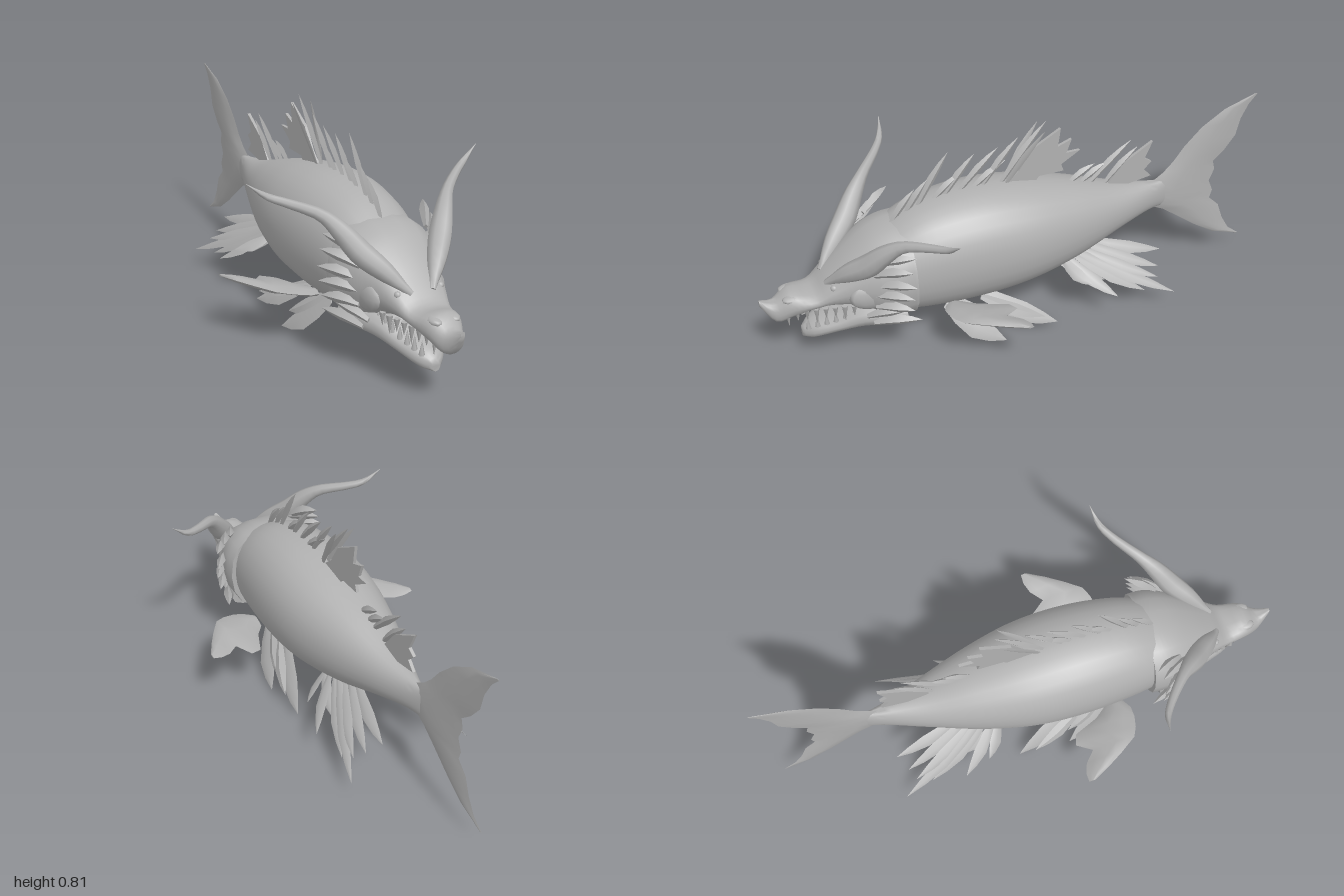
import * as THREE from 'three';
import { toCreasedNormals } from 'three/addons/utils/BufferGeometryUtils.js';

const V = (x, y, z) => new THREE.Vector3(x, y, z);
const grey = new THREE.MeshStandardMaterial({ color: 0xb0b0b0, side: THREE.DoubleSide });
grey.name = 'grey hide';

// Closed skin over a list of equal-length rings, always wound outward
function loft(rings, crease = 0.7) {
  const n = rings[0].length, pts = rings.flat(), tris = [];
  for (let i = 0; i < rings.length - 1; i++) {
    for (let j = 0; j < n; j++) {
      const a = i * n + j, b = i * n + (j + 1) % n;
      tris.push([a, b, a + n], [b, b + n, a + n]);
    }
  }
  const last = pts.length - n;
  for (let j = 1; j < n - 1; j++) tris.push([0, j + 1, j], [last, last + j, last + j + 1]);
  const c = pts.reduce((s, p) => s.add(p), V(0, 0, 0)).divideScalar(pts.length);
  let vol = 0;
  for (const [a, b, d] of tris) {
    vol += pts[a].clone().sub(c).dot(pts[b].clone().sub(c).cross(pts[d].clone().sub(c)));
  }
  const g = new THREE.BufferGeometry().setFromPoints(pts);
  g.setIndex((vol < 0 ? tris.map(t => [t[0], t[2], t[1]]) : tris).flat());
  return toCreasedNormals(g, crease);
}

// Smooth loft along z from stations [z, top, bottom, halfWidth]
function hull(stations, steps, sides, power) {
  const curve = k => new THREE.SplineCurve(stations.map(s => new THREE.Vector2(s[0], s[k])));
  const [top, bot, wid] = [1, 2, 3].map(curve), rings = [];
  const pw = v => Math.sign(v) * Math.abs(v) ** power;
  for (let i = 0; i <= steps; i++) {
    const t = top.getPoint(i / steps), b = bot.getPoint(i / steps).y, w = wid.getPoint(i / steps).y;
    rings.push(Array.from({ length: sides }, (_, j) => {
      const a = j / sides * Math.PI * 2;
      return V(w * pw(Math.cos(a)), (t.y + b) / 2 + (t.y - b) / 2 * pw(Math.sin(a)), t.x);
    }));
  }
  return loft(rings, 0.9);
}

// Lens-sectioned fin from rows [span, leading z, trailing z, half thickness]
function foil(rows, place) {
  return loft(rows.map(([s, f, b, h]) => [[0, 0], [0.2, 0.8], [0.45, 1], [0.8, 0.5], [1, 0],
    [0.8, -0.5], [0.45, -1], [0.2, -0.8]].map(([t, k]) => place(s, f + (b - f) * t, h * k))), 1);
}

// Leaf-shaped spike with a diamond section; "across" is its broad direction
function blade(base, tip, width, thick, across) {
  const dir = tip.clone().sub(base).normalize();
  const n = dir.clone().cross(across).normalize(), w = n.clone().cross(dir);
  const rings = [[0, 0.45], [0.25, 0.8], [0.55, 1], [0.8, 0.6], [1, 0.02]].map(([t, f]) => {
    const p = base.clone().lerp(tip, t).addScaledVector(w, Math.sin(t * Math.PI) * width * 0.2);
    return [[1, 0], [0, 1], [-1, 0], [0, -1]].map(([u, v]) =>
      p.clone().addScaledVector(w, u * f * width / 2).addScaledVector(n, v * f * thick / 2));
  });
  return loft(rings);
}

// Tapering round tube through points
function horn(points, radii) {
  const c = new THREE.CatmullRomCurve3(points), n = 20, fr = c.computeFrenetFrames(n);
  const r = new THREE.SplineCurve(radii.map((v, i) => new THREE.Vector2(i, v)));
  return loft(Array.from({ length: n + 1 }, (_, i) => Array.from({ length: 8 }, (_, j) => {
    const a = j / 8 * Math.PI * 2, q = Math.max(r.getPoint(i / n).y, 0.001);
    return c.getPoint(i / n).addScaledVector(fr.normals[i], q * Math.cos(a))
      .addScaledVector(fr.binormals[i], q * Math.sin(a));
  })), 1.2);
}

// Flat outline in the z-y plane, centred on x = 0
function webbedFin(outline, depth) {
  const g = new THREE.ExtrudeGeometry(new THREE.Shape(outline.map(p => new THREE.Vector2(...p))),
    { depth, bevelEnabled: false });
  return g.translate(0, 0, -depth / 2).rotateY(-Math.PI / 2);
}

export function createModel() {
  const model = new THREE.Group();
  model.name = 'hornedFish';
  const add = (name, geo) => {
    const m = new THREE.Mesh(geo, grey);
    m.name = name;
    model.add(m);
  };
  const up = V(0, 1, 0), along = V(0, 0, 1);

  // Trunk
  add('body', hull([[0.56, 0.49, 0.18, 0.15], [0.4, 0.572, 0.155, 0.185], [0.2, 0.6, 0.15, 0.205],
    [0, 0.58, 0.165, 0.198], [-0.2, 0.53, 0.205, 0.155], [-0.4, 0.465, 0.27, 0.09],
    [-0.54, 0.435, 0.305, 0.04], [-0.62, 0.43, 0.31, 0.015]], 36, 28, 0.92));

  // Tail fin, built upward from the lower tip
  add('tailFin', foil([[0.07, -0.975, -0.985, 0.001], [0.11, -0.86, -0.935, 0.004], [0.17, -0.77, -0.9, 0.007],
    [0.24, -0.68, -0.875, 0.01], [0.285, -0.62, -0.83, 0.013], [0.32, -0.55, -0.84, 0.016],
    [0.37, -0.52, -0.82, 0.018], [0.42, -0.55, -0.84, 0.016], [0.46, -0.61, -0.83, 0.013],
    [0.5, -0.65, -0.875, 0.011], [0.56, -0.695, -0.92, 0.009], [0.63, -0.765, -0.935, 0.006],
    [0.69, -0.86, -0.965, 0.004], [0.73, -0.985, -1, 0.001]], (y, z, x) => V(x, y, z)));

  // Skull and lower jaw
  add('skull', hull([[1, 0.315, 0.29, 0.008], [0.95, 0.3, 0.215, 0.04], [0.89, 0.335, 0.235, 0.068],
    [0.81, 0.325, 0.262, 0.085], [0.75, 0.375, 0.265, 0.105], [0.67, 0.445, 0.245, 0.135],
    [0.59, 0.5, 0.2, 0.172], [0.52, 0.525, 0.17, 0.192], [0.46, 0.53, 0.165, 0.192]], 32, 18, 0.85));
  add('lowerJaw', hull([[0.86, 0.15, 0.11, 0.015], [0.82, 0.18, 0.112, 0.055], [0.74, 0.21, 0.135, 0.09],
    [0.66, 0.255, 0.148, 0.122], [0.58, 0.265, 0.155, 0.155], [0.5, 0.27, 0.165, 0.175]], 16, 16, 0.85));

  // Spines along the back: [base z, base y, tip z, tip y]
  for (const [z, y, tz, ty] of [[0.5, 0.51, 0.4, 0.64], [0.44, 0.54, 0.35, 0.67], [0.4, 0.55, 0.27, 0.765],
    [0.34, 0.57, 0.22, 0.67], [0.3, 0.57, 0.17, 0.735], [0.24, 0.58, 0.08, 0.74], [0.19, 0.58, 0.05, 0.68],
    [0.15, 0.58, 0, 0.765], [0.08, 0.57, -0.11, 0.81], [-0.2, 0.51, -0.31, 0.575], [-0.25, 0.5, -0.36, 0.57],
    [-0.28, 0.48, -0.46, 0.645], [-0.35, 0.47, -0.49, 0.61]]) {
    add('backSpine', blade(V(0, y, z), V(0, ty, tz), 0.032, 0.022, along));
  }

  // Webbed back fins
  add('mainBackFin', webbedFin([[0.06, 0.57], [0, 0.62], [-0.05, 0.7], [-0.165, 0.765], [-0.155, 0.69],
    [-0.21, 0.71], [-0.19, 0.655], [-0.245, 0.655], [-0.17, 0.61], [-0.18, 0.58], [-0.08, 0.58], [-0.06, 0.55]], 0.012));
  add('rearBackFin', webbedFin([[-0.36, 0.46], [-0.43, 0.55], [-0.55, 0.62], [-0.52, 0.55], [-0.55, 0.53],
    [-0.52, 0.5], [-0.55, 0.465], [-0.45, 0.45], [-0.4, 0.45]], 0.012));

  for (const s of [1, -1]) {
    const P = (x, y, z) => V(s * x, y, z);

    // Horns growing out of the brows, eyes and nostrils
    add('horn', horn([P(0.04, 0.355, 0.76), P(0.1, 0.42, 0.69), P(0.155, 0.475, 0.625), P(0.2, 0.54, 0.575),
      P(0.245, 0.588, 0.525), P(0.33, 0.62, 0.45), P(0.39, 0.642, 0.41), P(0.455, 0.69, 0.39)],
    [0.012, 0.034, 0.042, 0.034, 0.022, 0.016, 0.012, 0.001]));
    add('eye', new THREE.SphereGeometry(0.013, 10, 8).translate(s * 0.083, 0.355, 0.742));
    add('nostril', new THREE.SphereGeometry(0.024, 10, 8).scale(1, 0.6, 1.6).translate(s * 0.034, 0.314, 0.885));
    add('cheek', new THREE.SphereGeometry(0.06, 12, 8).scale(0.5, 1, 1.5).translate(s * 0.125, 0.32, 0.61));
    add('backFinRay', blade(P(0.008, 0.57, 0.06), P(0.038, 0.79, -0.09), 0.03, 0.008, along));

    // Cheek frill: [base x, y, z, tip x, y, z]
    for (const [x, y, z, a, b, c] of [[0.14, 0.49, 0.56, 0.195, 0.545, 0.45], [0.14, 0.46, 0.6, 0.215, 0.5, 0.47],
      [0.15, 0.42, 0.61, 0.235, 0.455, 0.49], [0.15, 0.37, 0.6, 0.24, 0.39, 0.48], [0.15, 0.33, 0.61, 0.24, 0.34, 0.49],
      [0.15, 0.28, 0.61, 0.23, 0.285, 0.49], [0.13, 0.23, 0.64, 0.2, 0.27, 0.51], [0.14, 0.2, 0.62, 0.21, 0.22, 0.46]]) {
      add('cheekSpike', blade(P(x, y, z), P(a, b, c), 0.045, 0.035, up));
    }

    // Teeth
    for (let i = 0; i < 8; i++) {
      const t = i / 7, z = 0.91 - 0.23 * t, x = 0.045 + 0.055 * t;
      const len = i % 3 === 0 ? 0.07 : 0.05;
      add('upperTooth', new THREE.ConeGeometry(0.012, len, 5).rotateX(Math.PI)
        .translate(s * x, 0.272 - len / 2, z));
      if (i > 0) add('lowerTooth', new THREE.ConeGeometry(0.011, 0.055, 5)
        .translate(s * (x - 0.006), 0.178 + 0.05 * t + 0.015, z - 0.035));
    }

    // Broad two-lobed side fin, rising outward and drooping to the rear
    add('sideFin', foil([[0.16, 0.35, 0.28, 0.014], [0.2, 0.37, 0.23, 0.018], [0.24, 0.37, 0.135, 0.019],
      [0.285, 0.36, 0.12, 0.018], [0.325, 0.34, 0.175, 0.017], [0.37, 0.275, 0.135, 0.015],
      [0.41, 0.21, 0.12, 0.012], [0.445, 0.145, 0.12, 0.004]],
    (x, z, h) => P(x, 0.215 + (x - 0.2) * 0.24 + (z - 0.25) * 0.1 + h, z)));

    // Paired belly fins
    for (const [x, y, z, a, b, c, w] of [[0.1, 0.175, 0.33, 0.2, 0.005, 0.13, 0.09],
      [0.1, 0.18, 0.29, 0.17, 0.06, 0.13, 0.06], [0.1, 0.18, 0.18, 0.2, 0.03, -0.08, 0.08],
      [0.12, 0.18, 0.2, 0.22, 0.09, -0.02, 0.05]]) {
      add('bellyFin', blade(P(x, y, z), P(a, b, c), w, 0.022, along));
    }

    // Rear fin fan, its leaves slanting down and outward
    for (const [x, y, z, a, b, c] of [[0.1, 0.25, -0.12, 0.17, 0.15, -0.29], [0.11, 0.25, -0.14, 0.23, 0.19, -0.21],
      [0.1, 0.25, -0.16, 0.25, 0.12, -0.31], [0.1, 0.25, -0.19, 0.22, 0.09, -0.44],
      [0.09, 0.26, -0.2, 0.25, 0.07, -0.555], [0.08, 0.26, -0.22, 0.21, 0.13, -0.5],
      [0.07, 0.27, -0.25, 0.17, 0.15, -0.52], [0.06, 0.27, -0.28, 0.12, 0.19, -0.55]]) {
      add('rearFinBlade', blade(P(x, y, z), P(a, b, c), 0.05, 0.016, V(s, -1, 0.3)));
    }
  }
  return model;
}
